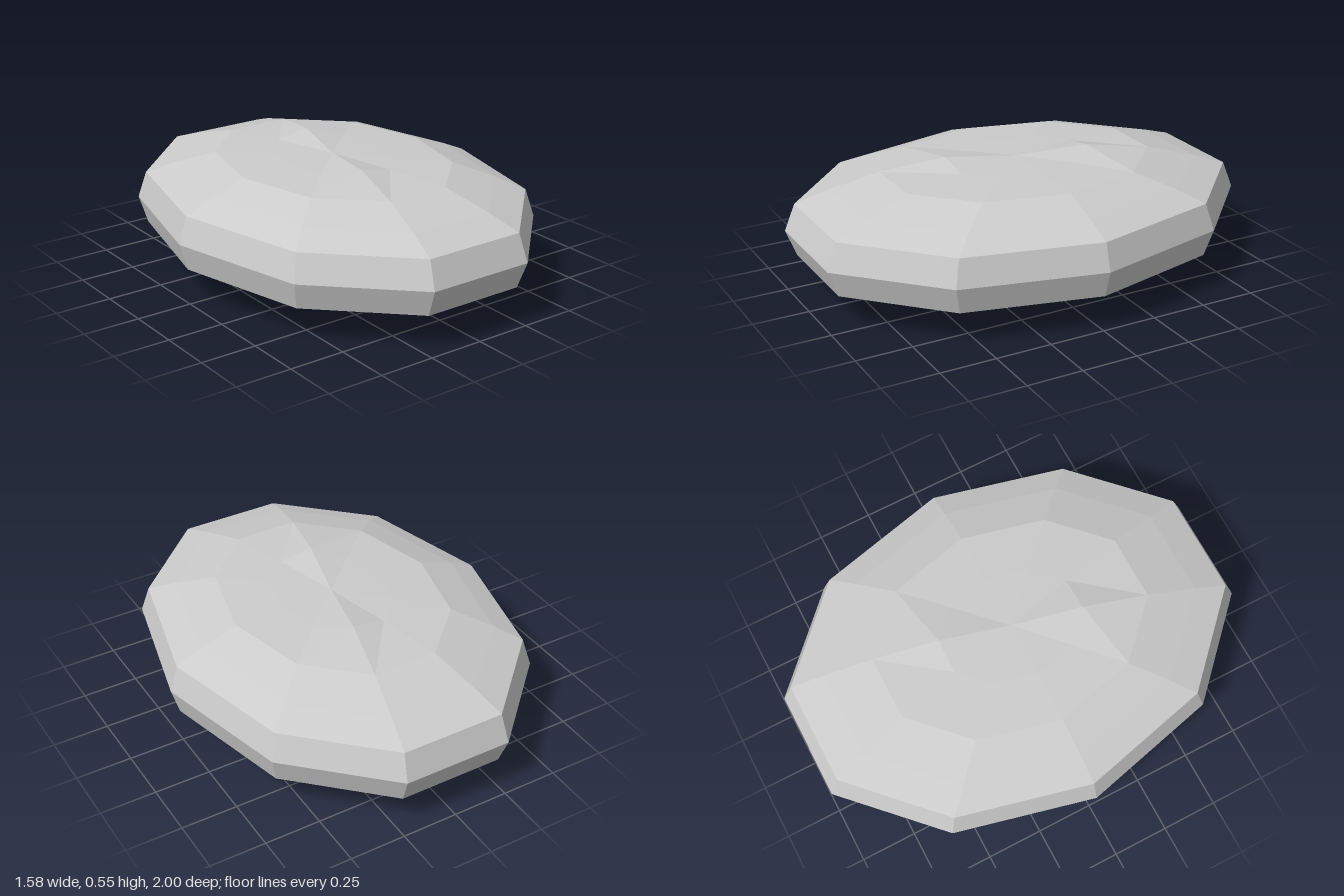
import * as THREE from 'three';

const SIDES = 10;
const RX = 0.79, RZ = 1.051;

// Cross-sections from the underside centre to the top centre: [scale, height]
const RINGS = [
  [0, 0.0], [0.31, 0.004], [0.595, 0.03], [0.955, 0.16], [1, 0.28],
  [0.955, 0.4], [0.81, 0.45], [0.595, 0.51], [0.31, 0.522], [0, 0.528],
];
const CREST_RING = 8;
const CREST_HEIGHT = 0.55;

function ringPoint(ring, k) {
  const [scale, height] = RINGS[ring];
  const a = (k / SIDES) * Math.PI * 2;
  // Two opposite corners of the innermost top ring rise into small crests
  const crest = ring === CREST_RING && k % 5 === 3;
  return [RX * scale * Math.cos(a), crest ? CREST_HEIGHT : height, RZ * scale * Math.sin(a)];
}

function stoneGeometry() {
  const positions = [];
  const triangle = (...points) => points.forEach((p) => positions.push(...p));
  for (let r = 0; r < RINGS.length - 1; r++) {
    for (let k = 0; k < SIDES; k++) {
      const a0 = ringPoint(r, k), a1 = ringPoint(r, k + 1);
      const b0 = ringPoint(r + 1, k), b1 = ringPoint(r + 1, k + 1);
      if (RINGS[r][0] > 0) triangle(a0, b0, a1);
      if (RINGS[r + 1][0] > 0) triangle(b0, b1, a1);
    }
  }
  const geometry = new THREE.BufferGeometry();
  geometry.setAttribute('position', new THREE.Float32BufferAttribute(positions, 3));
  geometry.computeVertexNormals();
  return geometry;
}

export function createModel() {
  const group = new THREE.Group();
  group.name = 'flatStone';
  // Faceted oval body
  const material = new THREE.MeshStandardMaterial({ color: 0xcccccc, flatShading: true });
  const body = new THREE.Mesh(stoneGeometry(), material);
  body.name = 'stoneBody';
  group.add(body);
  return group;
}
